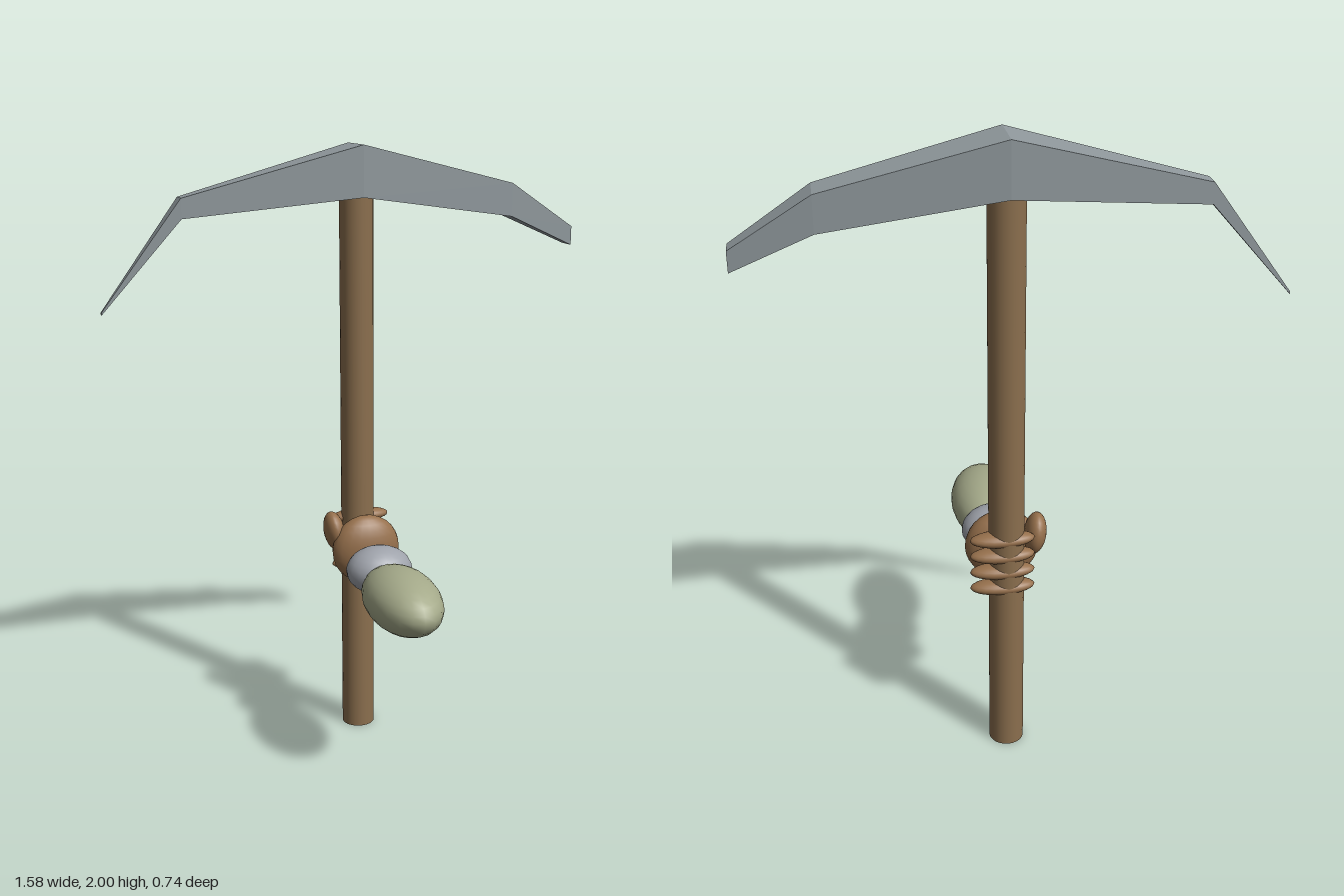
import * as THREE from 'three';

const material = (name, color) => {
  const m = new THREE.MeshStandardMaterial({ color });
  m.name = name;
  return m;
};

export function createModel() {
  const group = new THREE.Group();
  const wood = material('wood', 0x8b6f4e);
  const steel = material('steel', 0x90999d);
  const skin = material('skin', 0x96704c);
  const cuffGrey = material('cuffGrey', 0x9fa3ab);
  const sleeveGreen = material('sleeveGreen', 0xa5aa8a);

  const add = (name, geometry, mat, x, y, z) => {
    const mesh = new THREE.Mesh(geometry, mat);
    mesh.name = name;
    mesh.position.set(x, y, z);
    group.add(mesh);
    return mesh;
  };
  const ellipsoid = (name, mat, pos, radii) =>
    add(name, new THREE.SphereGeometry(1, 20, 14).scale(...radii), mat, ...pos);

  const cx = 0.035, cz = -0.288;

  // Shaft
  add('handle', new THREE.CylinderGeometry(0.055, 0.055, 1.85, 24), wood, cx, 0.925, cz);

  // Pick head: rectangular sections [x, top, bottom, half depth], pointed to broad end
  const sections = [
    [-0.79, 1.507, 1.499, 0.007],
    [-0.535, 1.848, 1.785, 0.03],
    [cx, 2.0, 1.838, 0.081],
    [0.555, 1.87, 1.762, 0.057],
    [0.787, 1.72, 1.658, 0.032],
  ];
  const rings = sections.map(([x, t, b, d]) => [[x, t, d], [x, t, -d], [x, b, -d], [x, b, d]]);
  const positions = [];
  const quad = (a, b, c, d) => positions.push(...a, ...b, ...c, ...a, ...c, ...d);
  for (let i = 0; i < rings.length - 1; i++) {
    const p = rings[i], q = rings[i + 1];
    for (let j = 0; j < 4; j++) {
      const k = (j + 1) % 4;
      quad(p[j], q[j], q[k], p[k]);
    }
  }
  quad(...rings[0]);
  quad(...[...rings[rings.length - 1]].reverse());
  const headGeometry = new THREE.BufferGeometry();
  headGeometry.setAttribute('position', new THREE.Float32BufferAttribute(positions, 3));
  headGeometry.computeVertexNormals();
  add('pickHead', headGeometry, steel, 0, 0, cz);

  // Forearm, cuff and palm
  ellipsoid('sleeve', sleeveGreen, [cx, 0.625, 0.16], [0.117, 0.097, 0.207]);
  ellipsoid('cuff', cuffGrey, [cx, 0.65, -0.06], [0.11, 0.079, 0.096]);
  ellipsoid('palm', skin, [cx, 0.677, -0.198], [0.117, 0.117, 0.06]);

  // Thumb on one side, four fingers wrapped across the shaft
  ellipsoid('thumb', skin, [-0.062, 0.735, -0.243], [0.034, 0.068, 0.055]).rotation.z = 0.15;
  for (let i = 0; i < 4; i++) {
    ellipsoid('finger', skin, [0.05, 0.761 - i * 0.056, -0.307], [0.1, 0.024, 0.038]);
  }

  return group;
}
